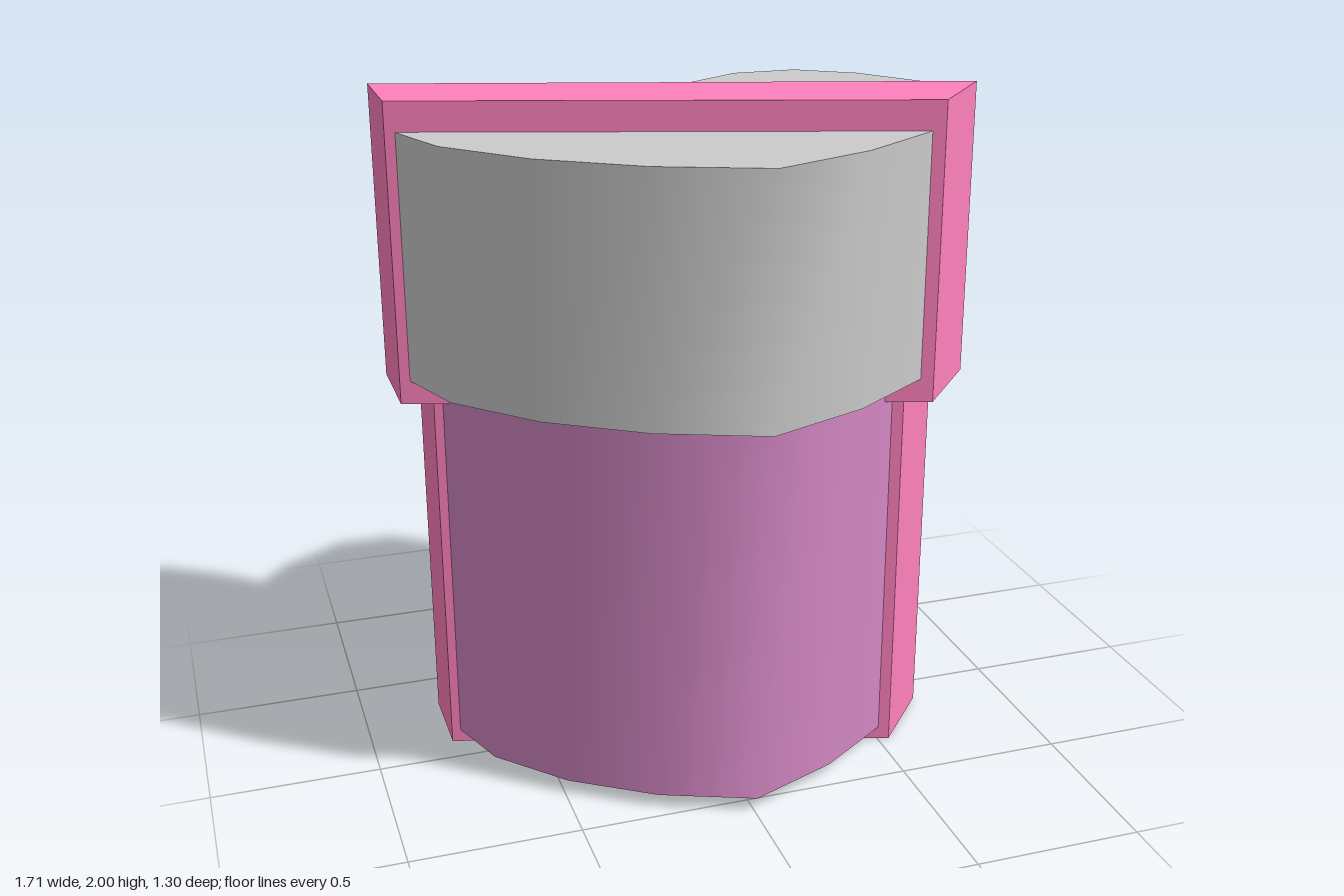
import * as THREE from 'three';
import { toCreasedNormals } from 'three/addons/utils/BufferGeometryUtils.js';

// Half of the lid's heart outline as [x, z], from the notch round to the tip
const half = [
  [0, -0.385], [0.13, -0.53], [0.335, -0.655], [0.54, -0.655], [0.71, -0.535], [0.84, -0.345],
  [0.84, -0.09], [0.76, 0.13], [0.56, 0.35], [0.3, 0.525], [0, 0.645],
];
const centreX = 0.01;
const heart = [
  ...half.map(([x, z]) => [centreX - x, z]),
  ...half.slice(1, -1).reverse().map(([x, z]) => [centreX + x, z]),
];

// Footprint of the ribbon around the lid
const band = [[-0.855, -0.36], [-0.855, -0.09], [0.6, 0.365], [0.8, 0.135]];

// The box below the lid is a slightly smaller copy of the lid
const shrink = (outline) => outline.map(([x, z]) => [x * 0.89, z * 0.89 - 0.013]);

// Joins outlines stacked at given heights into walls, with optional end caps
function loft(levels, capBottom = true) {
  const pos = [];
  const put = ([outline, y], i) => {
    const [x, z] = outline[i % outline.length];
    pos.push(x, y, z);
  };
  for (let k = 0; k < levels.length - 1; k++) {
    const low = levels[k], high = levels[k + 1];
    for (let i = 0; i < low[0].length; i++) {
      put(low, i); put(low, i + 1); put(high, i + 1);
      put(low, i); put(high, i + 1); put(high, i);
    }
  }
  const contour = levels[0][0].map(([x, z]) => new THREE.Vector2(x, -z));
  const top = levels[levels.length - 1];
  for (const [a, b, c] of THREE.ShapeUtils.triangulateShape(contour, [])) {
    put(top, a); put(top, b); put(top, c);
    if (capBottom) { put(levels[0], c); put(levels[0], b); put(levels[0], a); }
  }
  const geometry = new THREE.BufferGeometry();
  geometry.setAttribute('position', new THREE.Float32BufferAttribute(pos, 3));
  return toCreasedNormals(geometry, 0.9);
}

function part(name, geometry, color, side = THREE.FrontSide) {
  const mesh = new THREE.Mesh(geometry, new THREE.MeshStandardMaterial({ color, side }));
  mesh.name = name;
  return mesh;
}

export function createModel() {
  const group = new THREE.Group();
  group.name = 'heartGiftBox';
  const smallHeart = shrink(heart), smallBand = shrink(band);

  // Box, reaching up inside the lid
  group.add(part('box', loft([[smallHeart, 0.04], [smallHeart, 1.85]]), 0xd488c4));

  // Lid, open underneath
  group.add(part('lid', loft([[heart, 1.2], [heart, 1.915]], false), 0xcccccc, THREE.DoubleSide));

  // Ribbon, stepping outwards with a slanted lip where it passes over the lid
  group.add(part('ribbon',
    loft([[smallBand, 0], [smallBand, 1.2], [band, 1.13], [band, 2]]), 0xff80bd));

  return group;
}
